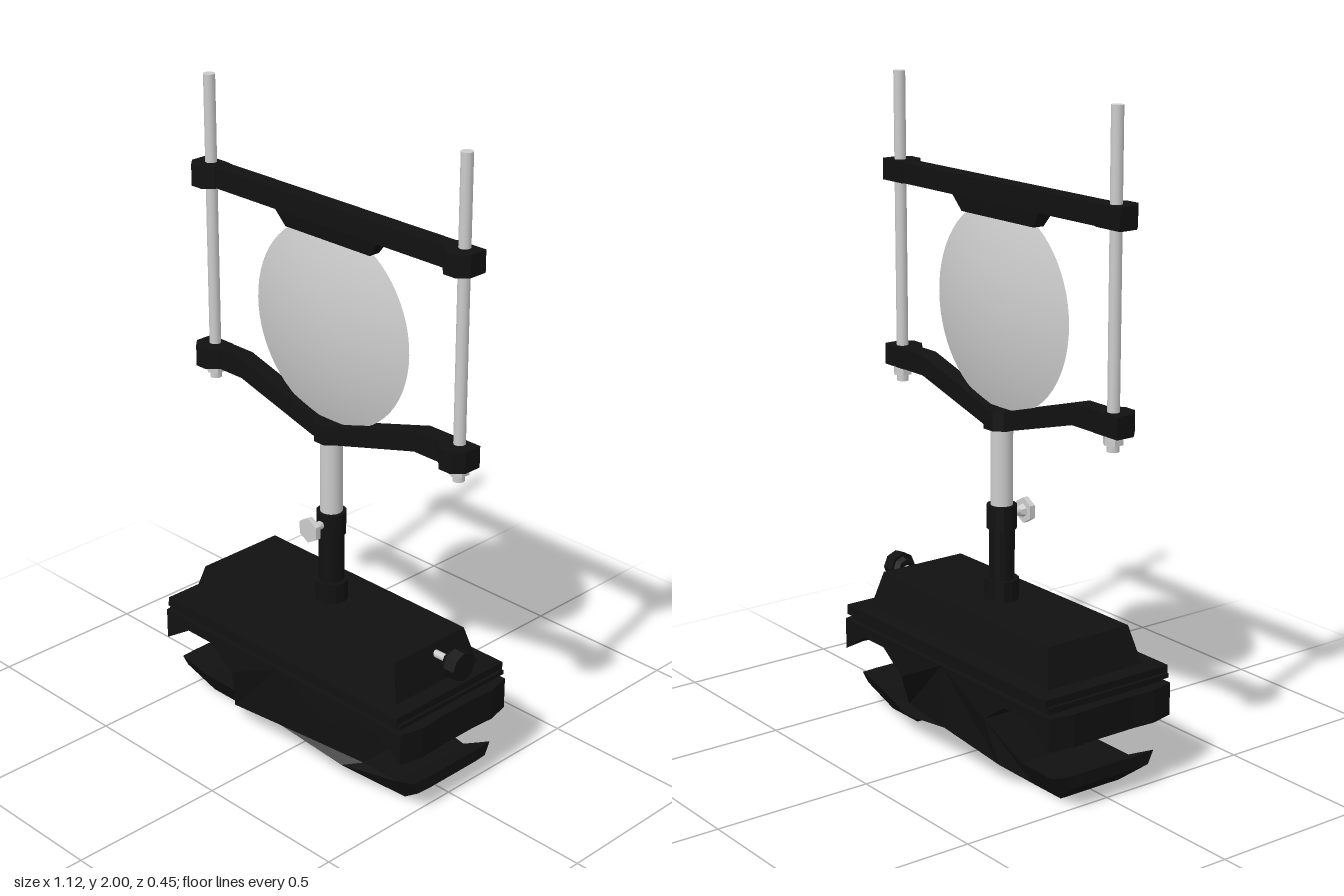
import * as THREE from 'three';

const black = new THREE.MeshStandardMaterial({ color: 0x111111, flatShading: true });
const grey = new THREE.MeshStandardMaterial({ color: 0xcccccc });
const greyFlat = new THREE.MeshStandardMaterial({ color: 0xcccccc, flatShading: true });

export function createModel() {
  const model = new THREE.Group();

  const add = (name, geometry, material, x = 0, y = 0, z = 0) => {
    const mesh = new THREE.Mesh(geometry, material);
    mesh.name = name;
    mesh.position.set(x, y, z);
    model.add(mesh);
    return mesh;
  };
  const cyl = (r0, r1, y0, y1, sides) =>
    new THREE.CylinderGeometry(r1, r0, y1 - y0, sides).translate(0, (y0 + y1) / 2, 0);
  const shapeOf = pts => new THREE.Shape(pts.map(p => new THREE.Vector2(...p)));
  // closes a half outline (x >= 0) with its mirror image
  const mirrored = half => shapeOf([
    ...half,
    ...half.filter(p => p[0] > 0).reverse().map(([x, y]) => [-x, y]),
  ]);
  const extrude = (shape, depth, steps = 1) =>
    new THREE.ExtrudeGeometry(shape, { depth, steps, bevelEnabled: false }).translate(0, 0, -depth / 2);
  // four-sided block that tapers from bottom half sizes to top half sizes
  const taperedBox = (x0, z0, x1, z1, y0, y1) => {
    const g = new THREE.BoxGeometry(2, y1 - y0, 2).toNonIndexed();
    const p = g.attributes.position;
    for (let i = 0; i < p.count; i++) {
      const top = p.getY(i) > 0;
      p.setX(i, p.getX(i) * (top ? x1 : x0));
      p.setZ(i, p.getZ(i) * (top ? z1 : z0));
    }
    g.translate(0, (y0 + y1) / 2, 0).computeVertexNormals();
    return g;
  };

  // Rail carriage with two pairs of jaws
  const carriage = extrude(mirrored([
    [0, 0.105], [0.237, 0.06], [0.29, 0], [0.425, 0], [0.515, 0.07], [0.515, 0.11],
    [0.425, 0.07], [0.285, 0.07], [0.21, 0.205], [0.305, 0.27], [0.41, 0.27],
    [0.53, 0.205], [0.53, 0.305], [0, 0.305],
  ]), 0.45, 6);
  const p = carriage.attributes.position;
  for (let i = 0; i < p.count; i++) {
    const x = p.getX(i), y = p.getY(i), z = p.getZ(i), ax = Math.abs(x);
    const half = y > 0.15 ? 0.225 : ax < 0.25 ? 0.19 + (y - 0.06) * 0.6 : 0.11 + y * 0.5;
    const limit = Math.abs(z) > 0.2 ? 0.512 : Math.abs(z) > 0.1 ? 0.53 : 0.525;
    p.setX(i, Math.sign(x) * Math.min(ax, limit));
    p.setZ(i, z * half / 0.225);
  }
  carriage.computeVertexNormals();
  add('carriageJaws', carriage, black);
  add('carriageGap', taperedBox(0.49, 0.21, 0.49, 0.21, 0.3, 0.325), black);
  add('carriageLip', taperedBox(0.508, 0.222, 0.508, 0.222, 0.32, 0.333), black);
  add('carriagePlate', taperedBox(0.498, 0.227, 0.498, 0.227, 0.33, 0.355), black);
  add('carriageTop', taperedBox(0.445, 0.175, 0.41, 0.148, 0.35, 0.47), black);

  // Side clamping knob
  const sideways = g => g.rotateZ(-Math.PI / 2);
  add('clampScrew', sideways(cyl(0.012, 0.012, 0.4, 0.49, 10)), grey, 0, 0.437, -0.02);
  add('clampKnobNeck', sideways(cyl(0.03, 0.038, 0.47, 0.495, 8)), black, 0, 0.437, -0.02);
  add('clampKnob', sideways(cyl(0.046, 0.046, 0.49, 0.53, 8)), black, 0, 0.437, -0.02);

  // Post in its holder
  add('holderFoot', cyl(0.052, 0.052, 0.46, 0.535, 12), black);
  add('holderSleeve', cyl(0.039, 0.039, 0.5, 0.72, 16), black);
  add('holderCollar', cyl(0.046, 0.046, 0.692, 0.765, 12), black);
  add('post', cyl(0.034, 0.034, 0.74, 1.02, 24), grey);

  // Thumb screw on the front of the collar
  const forward = g => g.rotateX(Math.PI / 2);
  add('thumbScrewShaft', forward(cyl(0.013, 0.013, 0.03, 0.085, 10)), grey, 0, 0.73);
  add('thumbScrewNeck', forward(cyl(0.014, 0.022, 0.062, 0.082, 6)), greyFlat, 0, 0.73);
  add('thumbScrewHead', forward(cyl(0.04, 0.04, 0.08, 0.098, 6)), greyFlat, 0, 0.73);

  // Lower cradle arm and its hub
  add('lowerArm', extrude(mirrored([
    [0, 1.003], [0.05, 1.003], [0.36, 1.09], [0.558, 1.09],
    [0.558, 1.155], [0.37, 1.155], [0.05, 1.062], [0, 1.062],
  ]), 0.056), black);
  add('lowerHub', cyl(0.055, 0.055, 1.001, 1.062, 8).rotateY(Math.PI / 8), black);

  // Upper clamp bar with its tapered pad
  add('upperBar', new THREE.BoxGeometry(1.116, 0.063, 0.056), black, 0, 1.7, 0);
  add('upperPad', taperedBox(0.17, 0.018, 0.205, 0.027, 1.622, 1.67), black);

  // Rods, nuts and the bosses they pass through
  for (const [side, s] of [['left', 1], ['right', -1]]) {
    add(side + 'Rod', cyl(0.018, 0.018, 1.042, 2, 12), grey, s * 0.507);
    add(side + 'RodNut', cyl(0.03, 0.03, 1.063, 1.092, 6), greyFlat, s * 0.507);
    for (const [level, y] of [['Lower', 1.1225], ['Upper', 1.7]]) {
      const boss = shapeOf([[0.558, -0.029], [0.558, 0.03], [0.528, 0.06],
        [0.486, 0.06], [0.456, 0.03], [0.456, -0.029]].map(([x, z]) => [s * x, z]));
      add(side + level + 'Boss', extrude(boss, 0.066).rotateX(Math.PI / 2), black, 0, y);
    }
  }

  // Biconvex lens
  const R = 0.31, T = 0.05, profile = [];
  for (let i = -12; i <= 12; i++) {
    const t = i / 12;
    const r = R * (1 - Math.abs(t));
    profile.push(new THREE.Vector2(r, Math.sign(t) * T * (1 - (r / R) ** 2)));
  }
  // each face is its own lathe so that the rim stays sharp
  for (const [name, pts] of [['lensBack', profile.slice(0, 13)], ['lensFront', profile.slice(12)]]) {
    add(name, new THREE.LatheGeometry(pts, 64).rotateX(Math.PI / 2), grey, 0, 1.36);
  }

  return model;
}
